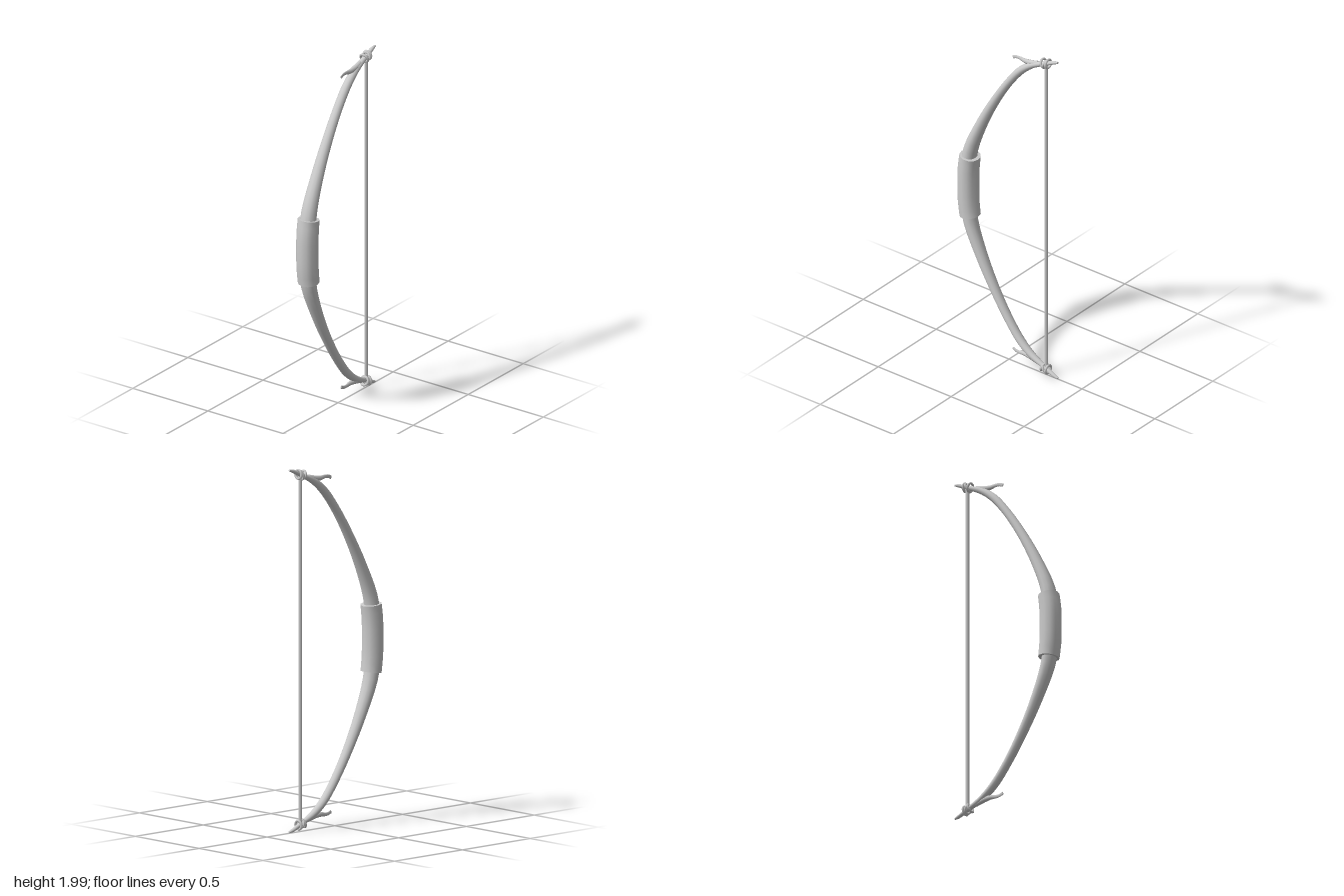
import * as THREE from 'three';

const material = new THREE.MeshStandardMaterial({ color: 0xcccccc });

function addMesh(parent, geometry, name) {
  const mesh = new THREE.Mesh(geometry, material);
  mesh.name = name;
  parent.add(mesh);
  return mesh;
}

// Sweeps an ellipse along a curve in the yz plane.
// Each point is [half width in x, y, z]; depth is the ratio of thickness to width.
function sweep(points, depth, steps, sides) {
  const curve = new THREE.CatmullRomCurve3(points.map((p) => new THREE.Vector3(...p)));
  const rings = [];
  for (let j = 0; j <= steps; j++) {
    const p = curve.getPoint(j / steps);
    const t = curve.getTangent(j / steps).setX(0).normalize();
    const d = typeof depth === 'function' ? depth(j / steps) : depth;
    const ring = [];
    for (let i = 0; i < sides; i++) {
      const a = (i / sides) * Math.PI * 2;
      const s = Math.sin(a) * p.x * d;
      ring.push([Math.cos(a) * p.x, p.y + t.z * s, p.z - t.y * s]);
    }
    rings.push(ring);
  }
  const pos = rings.flat(2);
  const index = [];
  for (let j = 0; j < steps; j++) {
    for (let i = 0; i < sides; i++) {
      const k = (i + 1) % sides;
      const a = j * sides + i, b = j * sides + k;
      index.push(a, b, a + sides, b, b + sides, a + sides);
    }
  }
  // End caps on their own vertices, so the rims stay sharp
  for (const [ring, last] of [[rings[0], false], [rings[steps], true]]) {
    const base = pos.length / 3;
    pos.push(...ring.flat());
    for (let i = 1; i < sides - 1; i++) {
      if (last) index.push(base, base + i, base + i + 1);
      else index.push(base, base + i + 1, base + i);
    }
  }
  const g = new THREE.BufferGeometry();
  g.setAttribute('position', new THREE.Float32BufferAttribute(pos, 3));
  g.setIndex(index);
  g.computeVertexNormals();
  return g;
}

// Mirrors a path about the middle height y = 1 and joins both halves
const mirrored = (half) => [
  ...half.slice(1).reverse().map(([w, y, z]) => [w, 2 - y, z]),
  ...half,
];

export function createModel() {
  const bow = new THREE.Group();
  bow.name = 'bow';

  // Bowed stave, thick at the grip and slim at the tips
  const stave = [
    [0.048, 1.0, 0.28], [0.045, 1.2, 0.268], [0.036, 1.4, 0.193], [0.029, 1.6, 0.09],
    [0.026, 1.75, -0.005], [0.025, 1.85, -0.085], [0.021, 1.91, -0.16],
    [0.014, 1.95, -0.245], [0.011, 1.98, -0.31], [0.006, 1.988, -0.335],
  ];
  addMesh(bow, sweep(mirrored(stave), 0.88, 64, 12), 'stave');

  // Wrapped grip
  const grip = [[0.061, 1.0, 0.279], [0.061, 1.1, 0.277], [0.06, 1.185, 0.267]];
  addMesh(bow, sweep(mirrored(grip), 0.96, 8, 12), 'grip');

  // Bowstring
  const string = addMesh(bow, new THREE.CylinderGeometry(0.01, 0.01, 1.9, 8), 'bowstring');
  string.position.set(0, 1, -0.255);

  for (const upper of [true, false]) {
    const flip = (y) => (upper ? y : 2 - y);
    const end = new THREE.Group();
    end.name = upper ? 'upperEnd' : 'lowerEnd';
    bow.add(end);

    // Forward-pointing prong, narrowing to a thin hooked edge
    const prong = [
      [0.014, 1.935, -0.2], [0.014, 1.921, -0.145], [0.01, 1.918, -0.105],
      [0.006, 1.922, -0.075], [0.004, 1.921, -0.05], [0.003, 1.912, -0.027],
    ].map(([w, y, z]) => [w, flip(y), z]);
    addMesh(end, sweep(prong, (t) => 1 + 2.2 * t * t, 16, 8), 'prong');

    // String loops tied around the tip: one upright, one leaning with the stave
    for (const [y, z, tilt] of [[1.957, -0.268, 0.05], [1.95, -0.238, 0.4], [1.953, -0.252, -0.35]]) {
      const loop = addMesh(end, new THREE.TorusGeometry(0.024, 0.007, 6, 16), 'stringLoop');
      loop.position.set(0, flip(y), z);
      loop.rotation.x = upper ? tilt : -tilt;
    }
  }
  return bow;
}
